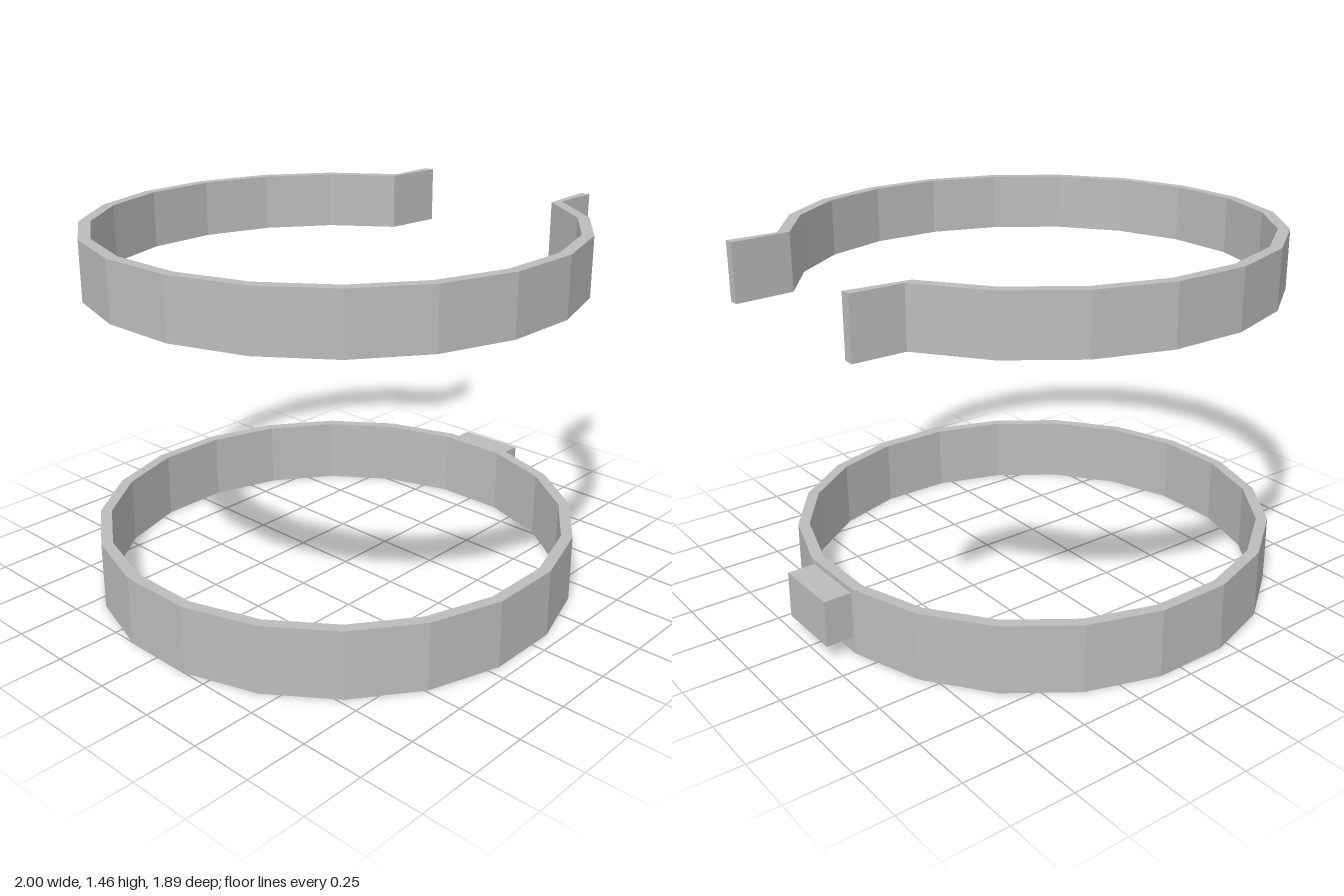
import * as THREE from 'three';

const SIDES = 20, CENTER_X = -0.055;
const OUTER = 0.957, INNER = 0.912;

// Corner points of the ring polygon, from corner index a to b
function corners(radius, a, b) {
  const points = [];
  for (let i = a; i <= b; i++) {
    const t = ((i + 0.5) / SIDES) * Math.PI * 2;
    points.push(new THREE.Vector2(CENTER_X + radius * Math.cos(t), radius * Math.sin(t)));
  }
  return points;
}

// Extrudes a plan outline upward from y0 to y1
function band(name, shape, y0, y1, material) {
  const geometry = new THREE.ExtrudeGeometry(shape, { depth: y1 - y0, bevelEnabled: false });
  geometry.rotateX(-Math.PI / 2);
  geometry.translate(0, y0, 0);
  const mesh = new THREE.Mesh(geometry, material);
  mesh.name = name;
  return mesh;
}

export function createModel() {
  const model = new THREE.Group();
  model.name = 'clampRings';
  const metal = new THREE.MeshStandardMaterial({ color: 0xbcbcbc });
  metal.name = 'grey metal';

  // Closed lower ring
  const closed = new THREE.Shape(corners(OUTER, 0, SIDES - 1));
  closed.holes.push(new THREE.Path(corners(INNER, 0, SIDES - 1).reverse()));
  model.add(band('lowerRing', closed, 0, 0.27, metal));

  // Block on the side of the lower ring
  const block = new THREE.Mesh(new THREE.BoxGeometry(0.13, 0.185, 0.275), metal);
  block.position.set(0.935, 0.1575, -0.002);
  block.name = 'sideBlock';
  model.add(block);

  // Open upper ring, its ends bent out into two tapered tabs
  const open = new THREE.Shape([
    new THREE.Vector2(1, 0.393),
    new THREE.Vector2(1, 0.434),
    ...corners(OUTER, 1, SIDES - 2),
    new THREE.Vector2(1, -0.434),
    new THREE.Vector2(1, -0.393),
    ...corners(INNER, 1, SIDES - 2).reverse(),
  ]);
  model.add(band('upperRingWithTabs', open, 1.235, 1.463, metal));

  return model;
}
